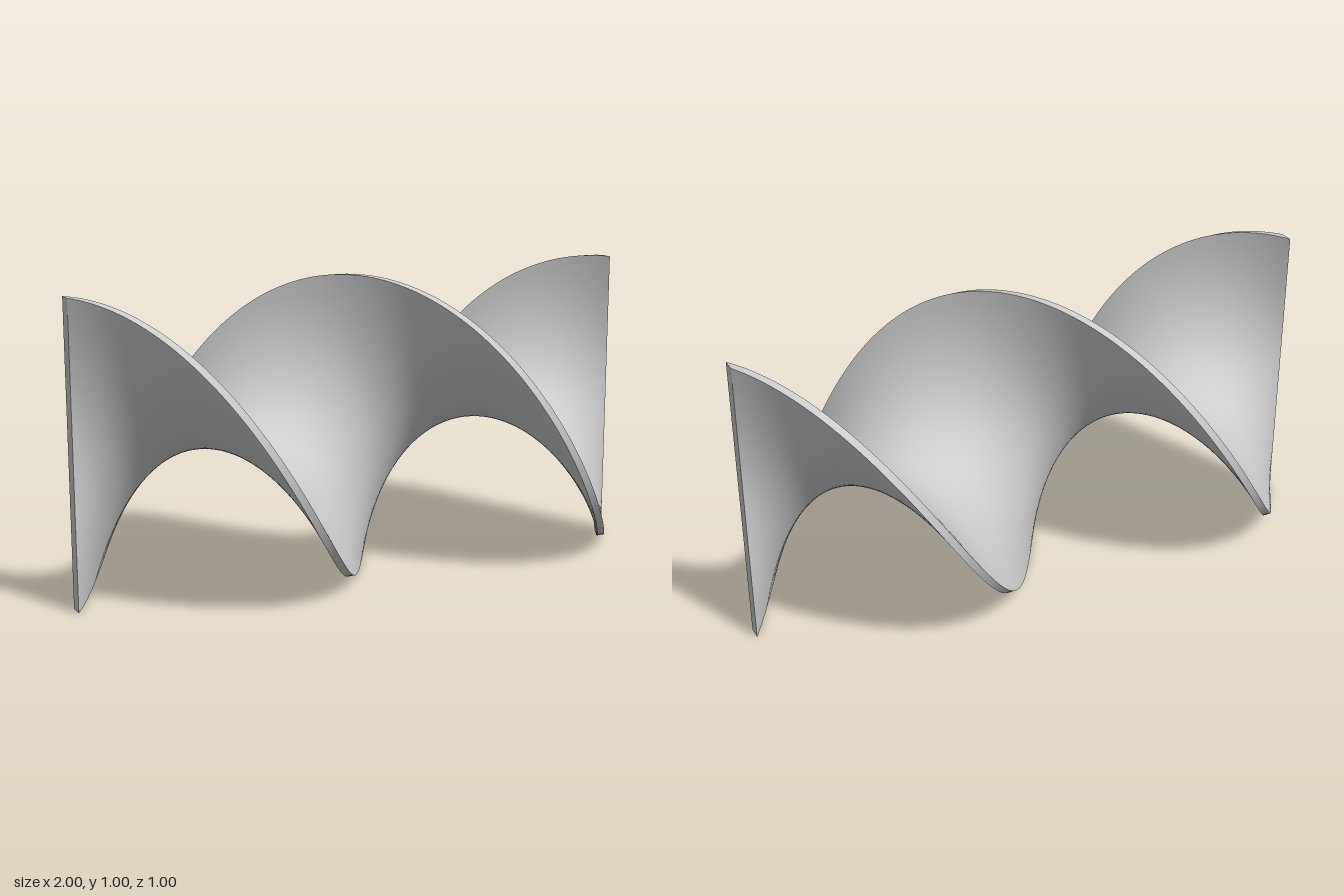
import * as THREE from 'three';

const LENGTH = 2;
const WIDTH = 1;
const THICKNESS = 0.045;
const TURNS = 1;

// Rotate each cross-section about the x axis in proportion to its x position.
function twistAboutX(geometry, anglePerUnit) {
  const position = geometry.attributes.position;
  const axis = new THREE.Vector3(1, 0, 0);
  const v = new THREE.Vector3();
  for (let i = 0; i < position.count; i++) {
    v.fromBufferAttribute(position, i);
    v.applyAxisAngle(axis, v.x * anglePerUnit);
    position.setXYZ(i, v.x, v.y, v.z);
  }
  geometry.computeVertexNormals();
  return geometry;
}

export function createModel() {
  const group = new THREE.Group();
  group.name = 'twistedPlate';

  // A flat plate given one full turn; box sides share no vertices, so its rims stay sharp
  const plate = new THREE.BoxGeometry(LENGTH, WIDTH, THICKNESS, 144, 40, 1);
  twistAboutX(plate, (TURNS * 2 * Math.PI) / LENGTH);

  const blade = new THREE.Mesh(plate, new THREE.MeshStandardMaterial({ color: 0xcccccc }));
  blade.name = 'helicalBlade';
  blade.position.y = WIDTH / 2;
  group.add(blade);

  return group;
}
